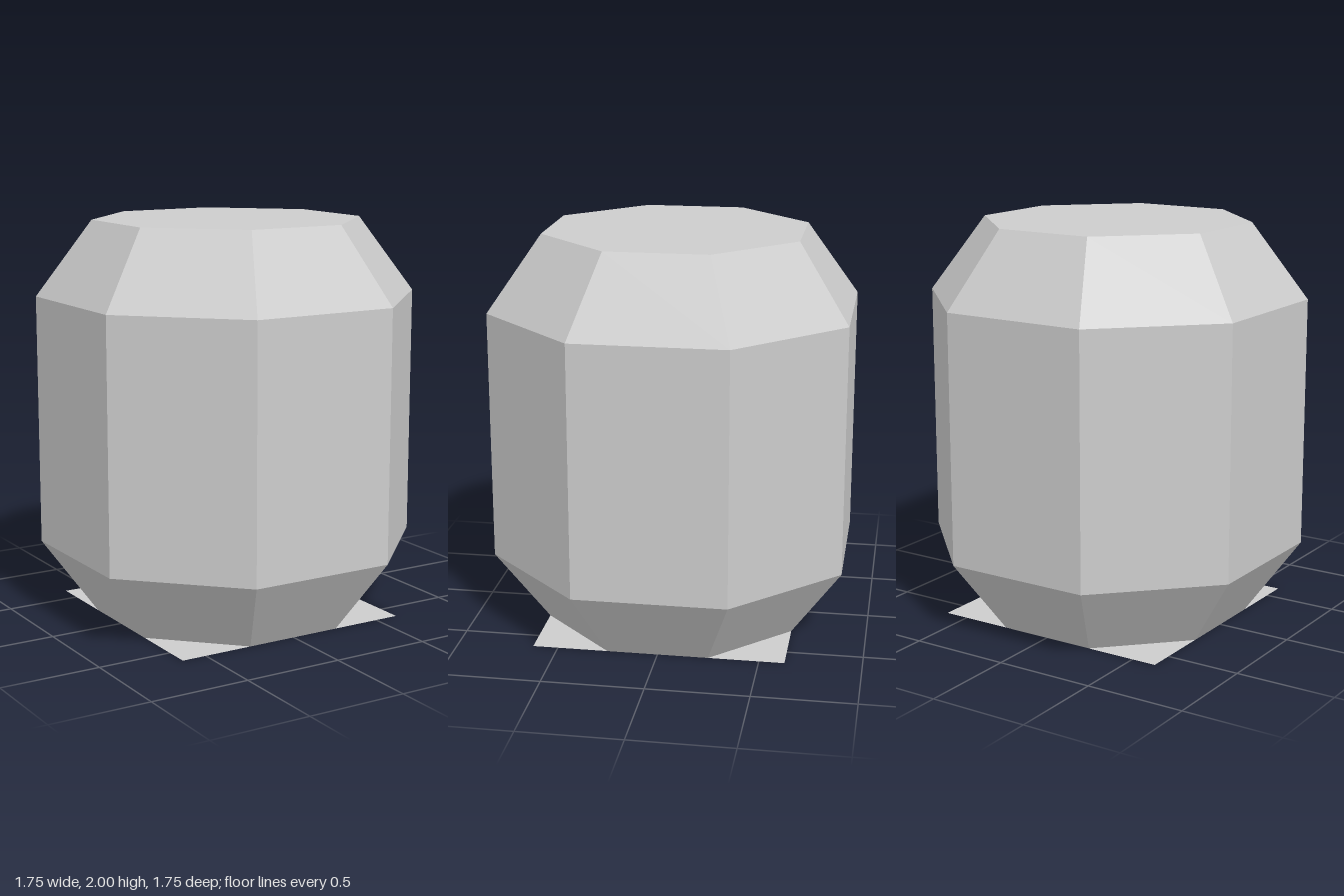
import * as THREE from 'three';

// Octagon ring: wide sides lie at distance r, with corners offset by c
function ring(r, c, y) {
  return [[r, c], [c, r], [-c, r], [-r, c], [-r, -c], [-c, -r], [c, -r], [r, -c]]
    .map(([x, z]) => [x, y, z]);
}

// Flat-shaded surface through the rings, closed at the top
function loft(rings) {
  const pos = [];
  const tri = (...pts) => pts.forEach((p) => pos.push(...p));
  for (let k = 0; k < rings.length - 1; k++) {
    const lo = rings[k], hi = rings[k + 1];
    for (let i = 0; i < lo.length; i++) {
      const j = (i + 1) % lo.length;
      tri(lo[i], hi[i], hi[j]);
      tri(lo[i], hi[j], lo[j]);
    }
  }
  const cap = rings[rings.length - 1];
  for (let i = 1; i < cap.length - 1; i++) tri(cap[0], cap[i + 1], cap[i]);
  const geo = new THREE.BufferGeometry();
  geo.setAttribute('position', new THREE.Float32BufferAttribute(pos, 3));
  geo.computeVertexNormals();
  return geo;
}

export function createModel() {
  const group = new THREE.Group();
  const grey = new THREE.MeshStandardMaterial({ color: 0xcccccc, side: THREE.DoubleSide, flatShading: true });
  grey.name = 'light grey';

  // Eight-sided barrel with sloped shoulders and foot
  const barrel = new THREE.Mesh(loft([
    ring(0.625, 0.25, 0),
    ring(0.875, 0.375, 0.375),
    ring(0.875, 0.375, 1.625),
    ring(0.625, 0.25, 2),
  ]), grey);
  barrel.name = 'barrel';
  group.add(barrel);

  // Thin square sheet closing the underside
  const base = new THREE.Mesh(new THREE.PlaneGeometry(1.25, 1.25).rotateX(Math.PI / 2), grey);
  base.name = 'basePlate';
  group.add(base);

  return group;
}
